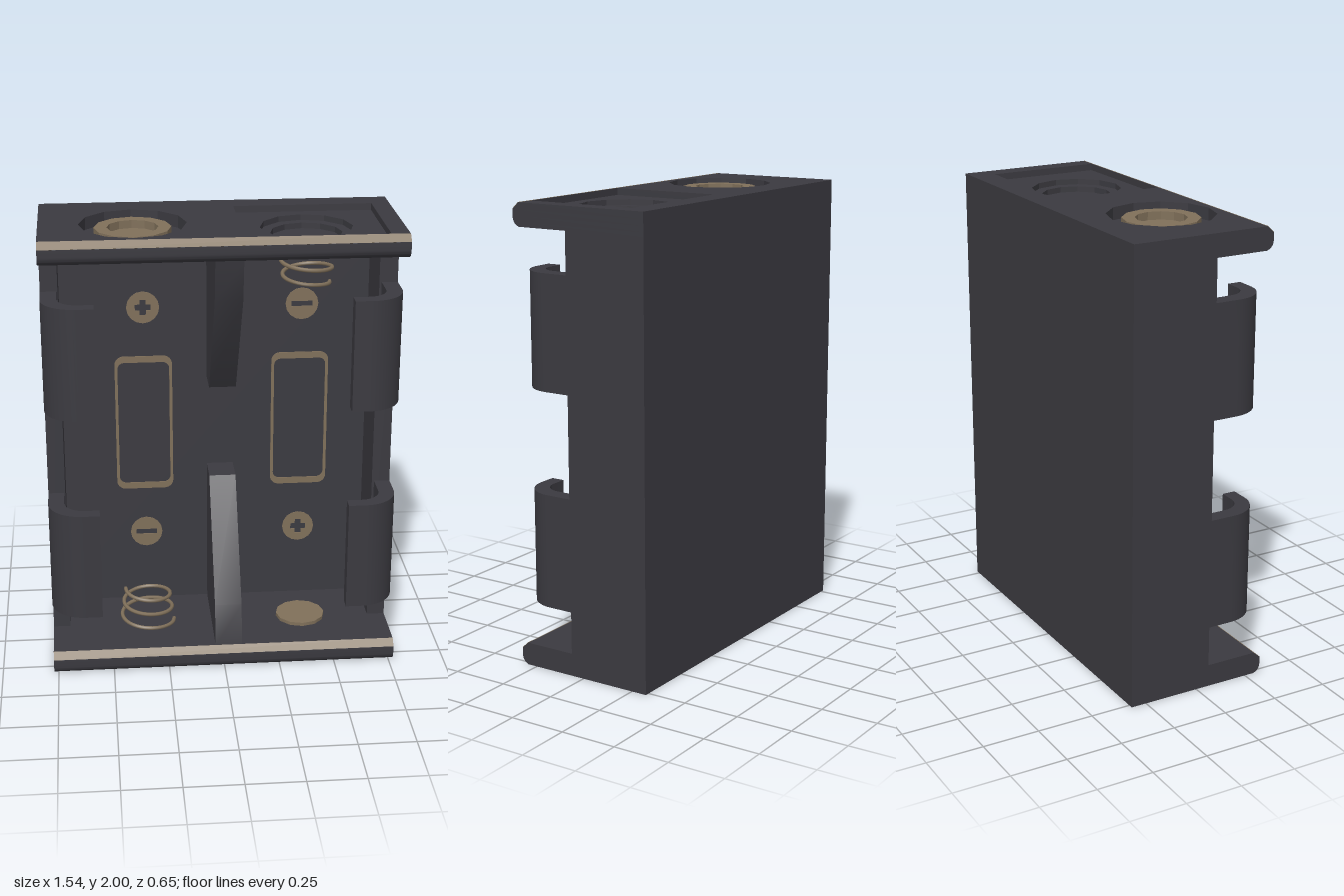
import * as THREE from 'three';
import { toCreasedNormals } from 'three/addons/utils/BufferGeometryUtils.js';

const plastic = new THREE.MeshStandardMaterial({ color: 0x3b3a40 });
plastic.name = 'dark plastic';
const brass = new THREE.MeshStandardMaterial({ color: 0x80705a });
brass.name = 'dull brass';

function add(parent, name, geometry, material = plastic) {
  const mesh = new THREE.Mesh(geometry, material);
  mesh.name = name;
  parent.add(mesh);
  return mesh;
}

function box(x0, x1, y0, y1, z0, z1) {
  return new THREE.BoxGeometry(x1 - x0, y1 - y0, z1 - z0)
    .translate((x0 + x1) / 2, (y0 + y1) / 2, (z0 + z1) / 2);
}

const polygon = (pts) => new THREE.Shape(pts.map(([a, b]) => new THREE.Vector2(a, b)));
const rect = (a0, a1, b0, b1) => polygon([[a0, b0], [a1, b0], [a1, b1], [a0, b1]]);
const twelveSided = (cx, cy, r) => polygon(Array.from({ length: 12 }, (_, i) => {
  const t = i * Math.PI / 6;
  return [cx + r * Math.cos(t), cy + r * Math.sin(t)];
}));

function roundRect(x0, x1, y0, y1, r) {
  const s = new THREE.Shape();
  s.absarc(x1 - r, y1 - r, r, 0, Math.PI / 2);
  s.absarc(x0 + r, y1 - r, r, Math.PI / 2, Math.PI);
  s.absarc(x0 + r, y0 + r, r, Math.PI, Math.PI * 1.5);
  s.absarc(x1 - r, y0 + r, r, Math.PI * 1.5, Math.PI * 2);
  s.closePath();
  return s;
}

const extrude = (shape, depth) =>
  new THREE.ExtrudeGeometry(shape, { depth, bevelEnabled: false, curveSegments: 8 });

// Outline in (x, z), raised from y0 to y1
const slab = (shape, y0, y1) =>
  toCreasedNormals(extrude(shape, y1 - y0).rotateX(Math.PI / 2).translate(0, y1, 0), 0.5);

// Outline in (z, y), swept from x0 to x1
const rail = (shape, x0, x1) =>
  toCreasedNormals(extrude(shape, x1 - x0).rotateY(-Math.PI / 2).translate(x1, 0, 0), 0.5);

// End plate, stacked in layers to form the stepped recesses
function endPlate() {
  const g = new THREE.Group();
  const cz = 0.04, X = 0.37;
  const layers = [
    [1.97, 2.0, [rect(0.08, 0.69, -0.21, 0.29), twelveSided(-X, cz, 0.23)]],
    [1.945, 1.97, [twelveSided(X, cz, 0.2), twelveSided(-X, cz, 0.23)]],
    [1.92, 1.945, [twelveSided(X, cz, 0.155)]],
    [1.9, 1.92, []],
  ];
  for (const [y0, y1, holes] of layers) {
    const s = rect(-0.77, 0.77, -0.32, 0.295);
    s.holes.push(...holes);
    add(g, 'endPlateLayer', slab(s, y0 - 1, y1 - 1));
  }
  // Cupped terminal in the round recess
  const profile = [[0.165, 0.93], [0.165, 0.985], [0.11, 0.985], [0.11, 0.95], [0, 0.95]]
    .map(([r, y]) => new THREE.Vector2(r, y));
  const cup = new THREE.LatheGeometry(profile, 12).translate(-X, 0, cz);
  add(g, 'terminalCup', toCreasedNormals(cup, 0.4), brass);
  return g;
}

// Two curved clips on the +x side
function clipPair() {
  const g = new THREE.Group();
  const s = new THREE.Shape();
  s.moveTo(0.7, 0.04);
  s.lineTo(0.77, 0.04);
  s.lineTo(0.77, 0.17);
  s.absarc(0.62, 0.17, 0.15, 0, Math.PI / 2, false);
  s.lineTo(0.545, 0.32);
  s.lineTo(0.545, 0.26);
  s.lineTo(0.62, 0.26);
  s.absarc(0.61, 0.17, 0.09, Math.PI / 2, 0, true);
  s.closePath();
  add(g, 'lowerClip', slab(s, 0.285 - 1, 0.782 - 1));
  add(g, 'upperClip', slab(s, 1.225 - 1, 1.72 - 1));
  return g;
}

// Tapered coil, rising from its base at y = 0
function coil() {
  const pts = [];
  const turns = 2.5, n = 50;
  for (let i = 0; i <= n; i++) {
    const t = i / n, a = t * turns * Math.PI * 2, r = 0.122 - 0.022 * t;
    pts.push(new THREE.Vector3(r * Math.cos(a), 0.01 + 0.165 * t, r * Math.sin(a)));
  }
  return new THREE.TubeGeometry(new THREE.CatmullRomCurve3(pts), 100, 0.009, 6);
}

// Flat disc with a plus or minus cut out
function polarityMark(plus) {
  const s = new THREE.Shape().absarc(0, 0, 0.074, 0, Math.PI * 2);
  const a = 0.035, b = 0.014;
  s.holes.push(plus
    ? polygon([[a, -b], [a, b], [b, b], [b, a], [-b, a], [-b, b], [-a, b], [-a, -b],
      [-b, -b], [-b, -a], [b, -a], [b, -b]])
    : rect(-0.048, 0.048, -0.012, 0.012));
  return extrude(s, 0.004);
}

export function createModel() {
  const model = new THREE.Group();
  model.name = 'batteryHolder';
  const floorZ = -0.2;

  // Tray
  add(model, 'backWall', box(-0.77, 0.77, 0.1, 1.9, -0.32, floorZ));
  add(model, 'leftWall', box(0.69, 0.77, 0.1, 1.9, floorZ, 0.06));
  add(model, 'rightWall', box(-0.77, -0.695, 0.1, 1.9, floorZ, 0.06));

  // Ends and clips repeat with a half turn about the centre
  for (const turn of [0, Math.PI]) {
    const end = endPlate();
    end.name = turn ? 'bottomEnd' : 'topEnd';
    const clips = clipPair();
    clips.name = turn ? 'rightClips' : 'leftClips';
    for (const part of [end, clips]) {
      part.position.y = 1;
      part.rotation.z = turn;
      model.add(part);
    }
  }

  // Rounded front lips with a brass bevel
  for (const y of [0, 1.9]) {
    const lip = new THREE.Shape();
    lip.moveTo(0.29, y);
    lip.lineTo(0.295, y);
    lip.quadraticCurveTo(0.325, y + 0.012, 0.325, y + 0.04);
    lip.lineTo(0.325, y + 0.072);
    lip.lineTo(0.295, y + 0.1);
    lip.lineTo(0.29, y + 0.1);
    lip.closePath();
    add(model, 'frontLip', rail(lip, -0.77, 0.77));
    const strip = polygon([[0.324, y + 0.072], [0.326, y + 0.073], [0.296, y + 0.101], [0.294, y + 0.1]]);
    add(model, 'lipStrip', rail(strip, -0.77, 0.77), brass);
  }

  // Sloped divider ribs
  const rib = [[floorZ, 0.1], [0.295, 0.1], [0.26, 0.285], [-0.055, 0.785], [floorZ, 0.785]];
  add(model, 'lowerDivider', rail(polygon(rib), -0.04, 0.08));
  add(model, 'upperDivider', rail(polygon(rib.map(([z, y]) => [z, 2 - y]).reverse()), -0.04, 0.08));

  // Contacts, springs and floor markings of the two bays
  for (const [x, springAtTop] of [[-0.335, false], [0.375, true]]) {
    const spring = add(model, 'spring', coil(), brass);
    spring.position.set(x, springAtTop ? 1.9 : 0.1, 0.04);
    spring.rotation.z = springAtTop ? Math.PI : 0;
    const button = new THREE.CylinderGeometry(0.112, 0.112, 0.016, 12);
    add(model, 'contactButton', button, brass).position.set(x, springAtTop ? 0.108 : 1.892, 0.04);

    const markX = springAtTop ? 0.39 : -0.325;
    add(model, 'upperMark', polarityMark(!springAtTop), brass).position.set(markX, 1.55, floorZ);
    add(model, 'lowerMark', polarityMark(springAtTop), brass).position.set(markX, 0.447, floorZ);

    const [x0, x1] = springAtTop ? [0.255, 0.515] : [-0.457, -0.197];
    const frame = roundRect(x0, x1, 0.67, 1.32, 0.04);
    frame.holes.push(roundRect(x0 + 0.013, x1 - 0.013, 0.7, 1.29, 0.03));
    add(model, 'floorOutline', extrude(frame, 0.004), brass).position.z = floorZ;
  }
  return model;
}
